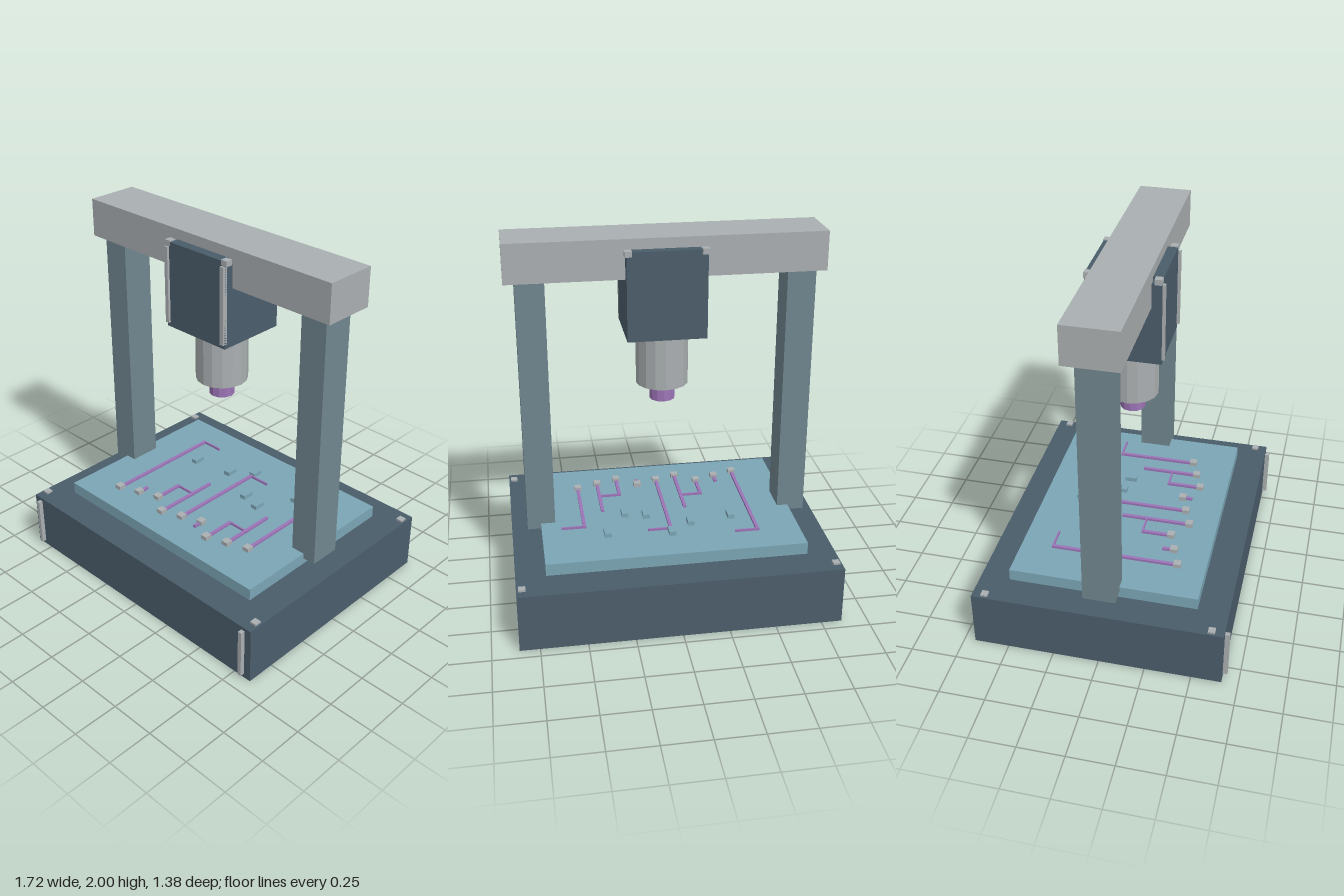
import * as THREE from 'three';

const mat = (name, color) => {
  const m = new THREE.MeshStandardMaterial({ color });
  m.name = name;
  return m;
};

export function createModel() {
  const root = new THREE.Group();
  root.name = 'gantryMachine';

  const slate = mat('slate', 0x4b5d6b);
  const steelBlue = mat('steelBlue', 0x70868f);
  const paleBlue = mat('paleBlue', 0x7ba5b5);
  const grey = mat('grey', 0xaaafb1);
  const purple = mat('purple', 0x9c74b6);
  purple.flatShading = grey.flatShading = true;

  // Box given by its extents along each axis
  const box = (name, m, [x0, x1], [y0, y1], [z0, z1], parent = root) => {
    const mesh = new THREE.Mesh(new THREE.BoxGeometry(x1 - x0, y1 - y0, z1 - z0), m);
    mesh.position.set((x0 + x1) / 2, (y0 + y1) / 2, (z0 + z1) / 2);
    mesh.name = name;
    parent.add(mesh);
    return mesh;
  };
  const span = (c, w) => [c - w / 2, c + w / 2];
  const group = (name) => {
    const g = new THREE.Group();
    g.name = name;
    root.add(g);
    return g;
  };

  // Base with corner screws and front trim strips
  const base = group('base');
  box('baseBlock', slate, [-0.86, 0.857], [0, 0.322], [-0.69, 0.662], base);
  for (const x of [-0.83, 0.827]) {
    for (const z of [-0.622, 0.595]) box('baseScrew', grey, span(x, 0.037), [0.32, 0.333], span(z, 0.037), base);
  }
  for (const x of [-0.81, 0.805]) box('baseTrim', grey, span(x, 0.022), [0.025, 0.303], [0.65, 0.687], base);

  // Work bed
  box('bed', paleBlue, [-0.70, 0.698], [0.333, 0.4], [-0.525, 0.498]);

  // Gantry
  for (const x of [-0.715, 0.695]) box('column', steelBlue, span(x, 0.152), [0.37, 1.792], [-0.097, 0.08]);
  box('crossBeam', grey, [-0.831, 0.827], [1.792, 2], [-0.155, 0.131]);

  // Tool head with raised cap, corner screws and front trim strips
  const head = group('toolHead');
  box('headBlock', slate, [-0.198, 0.216], [1.475, 1.922], [-0.206, 0.185], head);
  box('headCap', slate, [-0.166, 0.19], [1.92, 1.945], [-0.206, 0.185], head);
  for (const x of [-0.187, 0.207]) {
    for (const z of [-0.19, 0.165]) box('headScrew', grey, span(x, 0.038), [1.92, 1.95], span(z, 0.038), head);
  }
  for (const x of [-0.186, 0.205]) box('headTrim', grey, span(x, 0.022), [1.5, 1.92], [0.17, 0.199], head);

  // Spindle and tip
  const cyl = (name, m, r, y0, y1, sides) => {
    const mesh = new THREE.Mesh(new THREE.CylinderGeometry(r, r, y1 - y0, sides), m);
    mesh.position.set(0.009, (y0 + y1) / 2, -0.01);
    mesh.name = name;
    head.add(mesh);
  };
  cyl('spindle', grey, 0.141, 1.175, 1.476, 16);
  cyl('spindleTip', purple, 0.069, 1.08, 1.176, 12);

  // Circuit pads and traces: one trace per pad, every second one bends sideways
  const board = group('circuit');
  const padZ = [0.343, 0.302, 0.262];
  const traceEnd = [-0.35, 0.237, 0.1, -0.04, -0.267, 0.318, 0.155, -0.02, -0.182];
  traceEnd.forEach((end, i) => {
    const x = -0.466 + i * 0.1163;
    const z = padZ[i % 3];
    box('pad', grey, span(x, 0.04), [0.4, 0.424], span(z, 0.04), board);
    box('trace', purple, span(x, 0.018), [0.4, 0.413], [Math.min(z, end), Math.max(z, end)], board);
    if (i % 2 === 0) box('traceBend', purple, [x - 0.009, x + 0.126], [0.4, 0.413], span(end, 0.009), board);
  });

  // Small chips on the rear half of the bed
  const chips = [[-0.35, -0.173], [-0.118, -0.213], [0, -0.306], [0.115, -0.1], [0.23, -0.07], [0.347, -0.272]];
  for (const [x, z] of chips) box('chip', paleBlue, span(x, 0.037), [0.4, 0.424], span(z, 0.065), board);

  return root;
}
